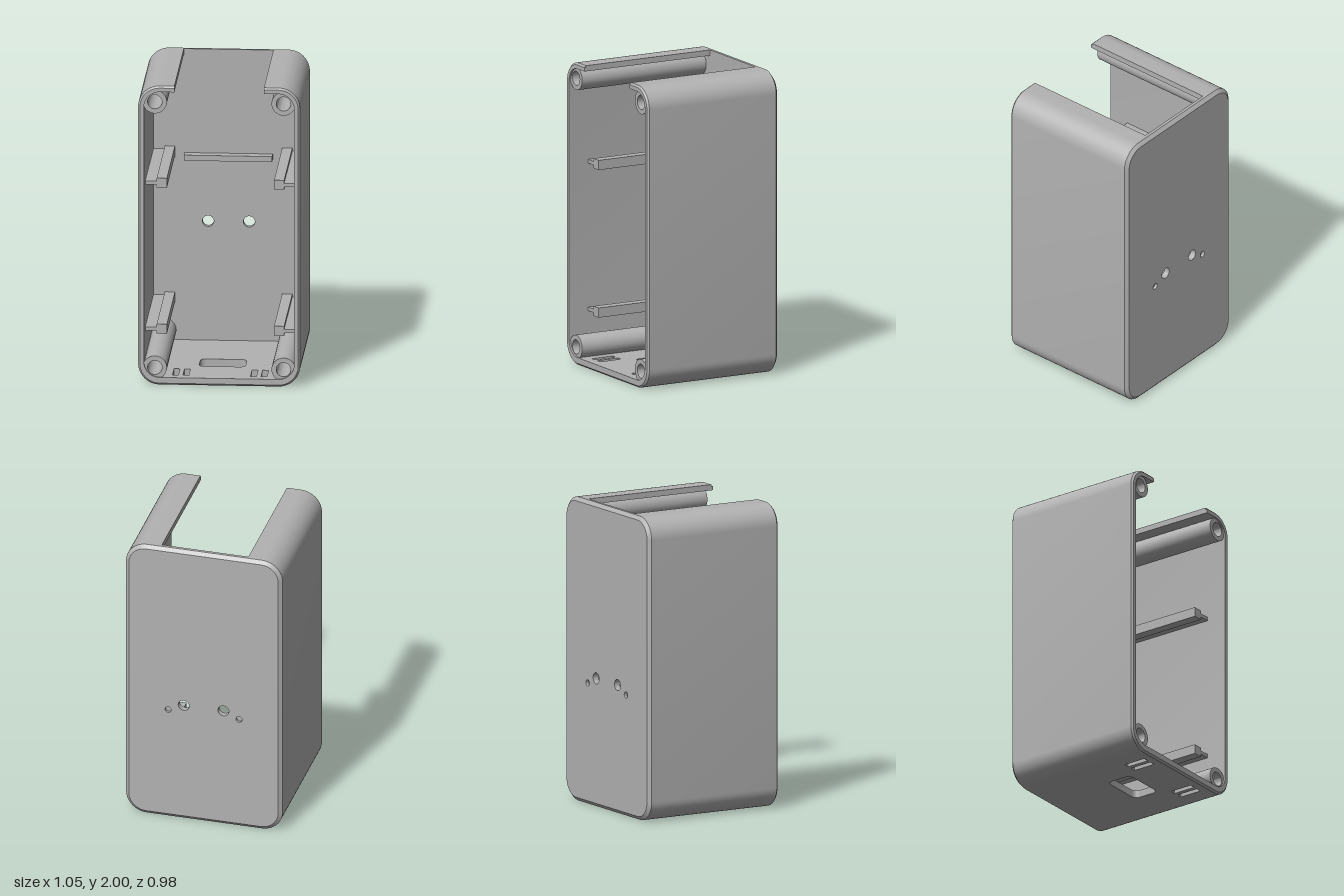
import * as THREE from 'three';
import { toCreasedNormals } from 'three/addons/utils/BufferGeometryUtils.js';

const W = 0.525, H = 2, R = 0.14, WALL = 0.038, FLOOR = 0.05;
const BACK = -0.49, BACK_IN = -0.45, BACK_CH = -0.47, FRONT_CH = 0.478, FRONT = 0.49;
const NOTCH = 0.29, SIDE = W - R;

const shell = new THREE.MeshStandardMaterial({ color: 0xb2b2b2 });
shell.name = 'grey plastic';

// Rounded outline, counterclockwise, from the left to the right edge of the top notch
function outline(w, y0, y1, r) {
  const pts = [new THREE.Vector2(-NOTCH, y1)];
  const corners = [[-w + r, y1 - r, 1], [-w + r, y0 + r, 2], [w - r, y0 + r, 3], [w - r, y1 - r, 4]];
  for (const [cx, cy, q] of corners) {
    for (let i = 0; i <= 12; i++) {
      const a = (q + i / 12) * Math.PI / 2;
      pts.push(new THREE.Vector2(cx + r * Math.cos(a), cy + r * Math.sin(a)));
    }
  }
  pts.push(new THREE.Vector2(NOTCH, y1));
  // the last corner sweeps from the right side up to the top
  return pts;
}
const outer = (inset) => outline(W - inset, inset, H - inset, R - inset);
const inner = () => outline(W - WALL, FLOOR, H - WALL, R - WALL);

function circle(x, y, r) {
  return new THREE.Path().absarc(x, y, r, 0, Math.PI * 2, false);
}

function rect(Type, x0, y0, x1, y1) {
  return new Type([[x0, y0], [x1, y0], [x1, y1], [x0, y1]].map(p => new THREE.Vector2(...p)));
}

export function createModel() {
  const group = new THREE.Group();

  const add = (name, geometry) => {
    const mesh = new THREE.Mesh(geometry, shell);
    mesh.name = name;
    group.add(mesh);
    return mesh;
  };
  const extrude = (shape, z0, z1) => {
    const g = new THREE.ExtrudeGeometry(shape, { depth: z1 - z0, bevelEnabled: false, curveSegments: 20 });
    return toCreasedNormals(g.translate(0, 0, z0), 0.5);
  };
  const box = (name, x0, x1, y0, y1, z0, z1) =>
    add(name, new THREE.BoxGeometry(x1 - x0, y1 - y0, z1 - z0)
      .translate((x0 + x1) / 2, (y0 + y1) / 2, (z0 + z1) / 2));

  // Sloping strip from outline a at za to outline b at zb (zb in front of za)
  const strip = (a, za, b, zb, closed) => {
    const pos = [], n = a.length;
    for (let i = 0; i < (closed ? n : n - 1); i++) {
      const j = (i + 1) % n;
      const p = [a[i].x, a[i].y, za], q = [a[j].x, a[j].y, za];
      const s = [b[j].x, b[j].y, zb], t = [b[i].x, b[i].y, zb];
      pos.push(...p, ...q, ...s, ...p, ...s, ...t);
    }
    const g = new THREE.BufferGeometry();
    g.setAttribute('position', new THREE.Float32BufferAttribute(pos, 3));
    g.computeVertexNormals();
    return toCreasedNormals(g, 0.5);
  };

  // Side walls with their rounded top and bottom corners
  const half = 1 + 2 * 13;
  const left = [...outer(0).slice(0, half), new THREE.Vector2(-SIDE, FLOOR),
    ...inner().slice(0, half).reverse()];
  for (const s of [-1, 1]) {
    const pts = left.map(p => new THREE.Vector2(-s * p.x, p.y));
    add(s < 0 ? 'rightWall' : 'leftWall', extrude(new THREE.Shape(s < 0 ? left : pts), BACK_IN, FRONT_CH));
  }

  // Floor with a cable opening and strap slots; shape y is -z
  const floor = rect(THREE.Shape, -SIDE, -FRONT_CH, SIDE, -BACK_IN);
  const port = new THREE.Path();
  const px = 0.15, pz0 = -0.195, pz1 = -0.015, pr = 0.035;
  port.absarc(px - pr, pz1 - pr, pr, 0, Math.PI / 2);
  port.absarc(-px + pr, pz1 - pr, pr, Math.PI / 2, Math.PI);
  port.absarc(-px + pr, pz0 + pr, pr, Math.PI, Math.PI * 1.5);
  port.absarc(px - pr, pz0 + pr, pr, Math.PI * 1.5, Math.PI * 2);
  floor.holes.push(port);
  for (const x of [-0.306, -0.238, 0.2, 0.268]) {
    floor.holes.push(rect(THREE.Path, x, -0.425, x + 0.038, -0.268));
  }
  add('floor', extrude(floor, 0, FLOOR).rotateX(-Math.PI / 2));

  // Front rim with a small outer chamfer
  add('frontRim', extrude(new THREE.Shape([...outer(0.012), ...inner().reverse()]), FRONT_CH, FRONT));
  add('frontChamfer', strip(outer(0), FRONT_CH, outer(0.012), FRONT, false));

  // Back wall: inner layer, chamfered outer layer with extra blind holes
  const bigHoles = () => [-0.133, 0.133].map(x => circle(x, 0.848, 0.037));
  const smallHoles = [-0.238, 0.238].map(x => circle(x, 0.8, 0.021));
  const innerLayer = new THREE.Shape(outer(0));
  innerLayer.holes.push(...bigHoles());
  add('backWall', extrude(innerLayer, BACK_CH, BACK_IN));
  const outerLayer = new THREE.Shape(outer(0.024));
  outerLayer.holes.push(...bigHoles(), ...smallHoles);
  add('backPlate', extrude(outerLayer, BACK, BACK_CH));
  add('backChamfer', strip(outer(0.024), BACK, outer(0), BACK_CH, true));

  // Screw posts in the four corners
  for (const x of [-0.417, 0.417]) {
    for (const y of [0.113, 1.893]) {
      const post = new THREE.Shape().absarc(x, y, 0.078, 0, Math.PI * 2, false);
      post.holes.push(circle(x, y, 0.047));
      add('screwPost', extrude(post, BACK_IN, FRONT_CH));
    }
  }

  // Board rails on both side walls
  for (const s of [-1, 1]) {
    for (const y of [0.337, 1.315]) {
      const xs = (a, b) => (s < 0 ? [-b, -a] : [a, b]);
      box('railWeb', ...xs(0.41, W - WALL + 0.01), y - 0.012, y + 0.012, BACK_IN, 0.35);
      box('railHead', ...xs(0.347, 0.413), y - 0.032, y + 0.032, BACK_IN, 0.35);
    }
  }

  // Ledge on the inside of the back wall
  box('backLedge', -0.286, 0.286, 1.267, 1.304, BACK_IN, -0.385);

  return group;
}
